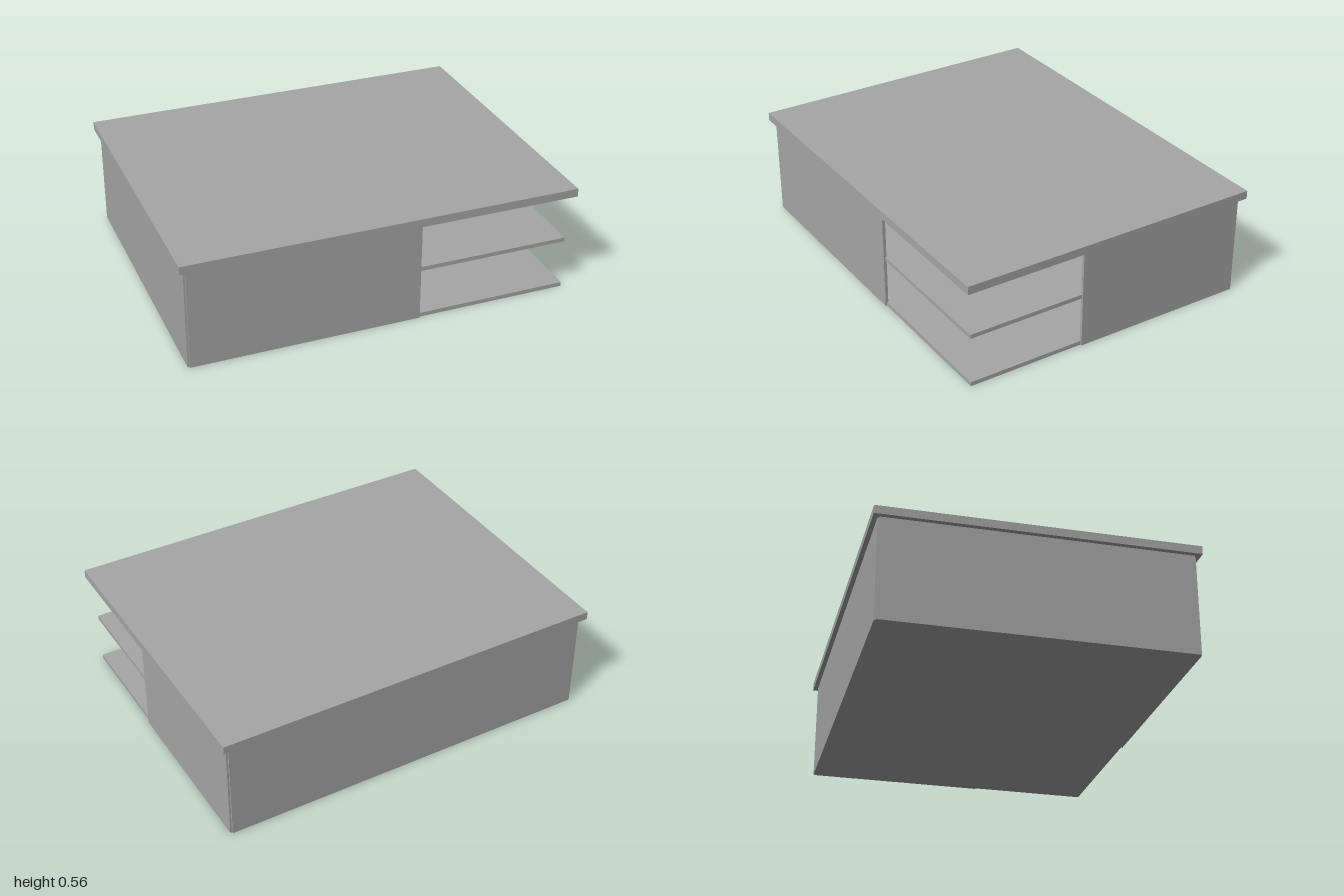
import * as THREE from 'three';

export function createModel() {
  const group = new THREE.Group();
  group.name = 'coffeeTable';
  const grey = new THREE.MeshStandardMaterial({ color: 0xa6a6a6 });
  grey.name = 'grey';

  // Box given by its extents on each axis
  const panel = (name, [x0, x1], [y0, y1], [z0, z1]) => {
    const mesh = new THREE.Mesh(new THREE.BoxGeometry(x1 - x0, y1 - y0, z1 - z0), grey);
    mesh.position.set((x0 + x1) / 2, (y0 + y1) / 2, (z0 + z1) / 2);
    mesh.name = name;
    group.add(mesh);
  };

  const H = 0.518;                // underside of the top
  const X = 0.975, Z = 0.762;     // outer faces of the body
  const T = 0.015;                // panel thickness
  const EX = 0.966, EZ = 0.754;   // ends of the panels and shelves
  const openX = 0.19, openZ = 0.15;
  const full = [0, H];

  // Overhanging top
  panel('tableTop', [-1, 1], [H, 0.56], [-0.785, 0.785]);

  // Outer panels with small stepped corners, leaving the front left corner open
  panel('frontPanel', [-EX, openX], full, [Z - T, Z]);
  panel('backPanel', [-EX, EX], full, [-Z, -Z + T]);
  panel('rightPanel', [-X, -X + T], full, [-EZ, EZ]);
  panel('leftPanel', [X - T, X], full, [-EZ, openZ]);

  // Shelves run through the whole hollow body
  for (const [name, y] of [['lowerShelf', 0], ['upperShelf', 0.258]]) {
    panel(name, [-EX, EX], [y, y + 0.021], [-EZ, EZ]);
  }
  return group;
}
